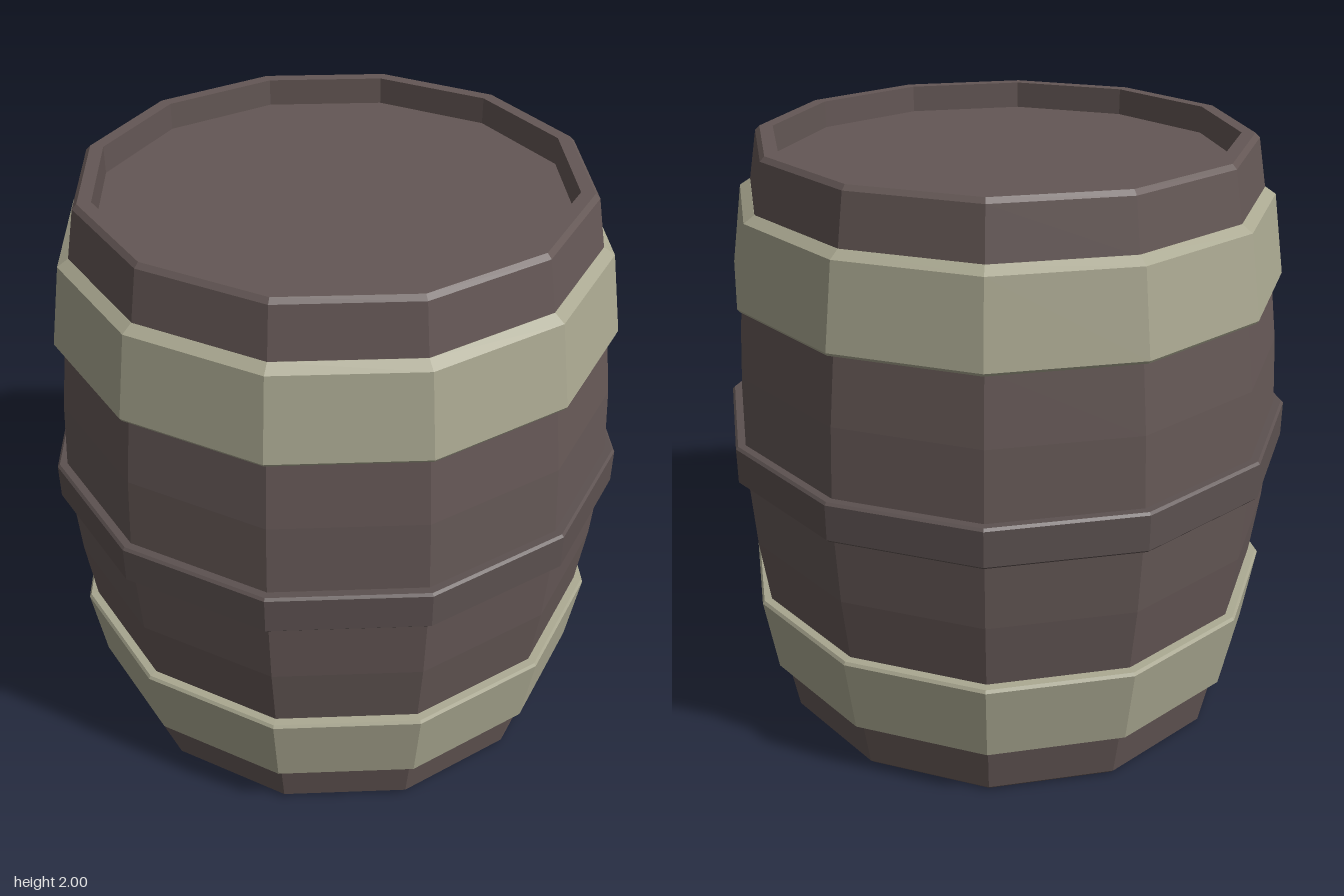
import * as THREE from 'three';

const SIDES = 12;
const TURN = THREE.MathUtils.degToRad(20); // twist of the twelve-sided outline

const flat = (name, color) => {
  const m = new THREE.MeshStandardMaterial({ color, flatShading: true });
  m.name = name;
  return m;
};

// Faceted solid of revolution; the profile runs bottom to top on the outside
function turned(name, profile, material) {
  const points = profile.map(([r, y]) => new THREE.Vector2(r, y));
  const mesh = new THREE.Mesh(new THREE.LatheGeometry(points, SIDES, TURN), material);
  mesh.name = name;
  return mesh;
}

// Flip a profile about mid-height, keeping its bottom-to-top order
const mirrored = (profile) => profile.map(([r, y]) => [r, 2 - y]).reverse();

export function createModel() {
  const wood = flat('dark wood', 0x645755);
  const metal = flat('pale hoop', 0xa9a790);
  const ring = flat('middle hoop', 0x5c5150);

  const barrel = new THREE.Group();
  barrel.name = 'barrel';

  // Bulging staves with a recessed lid at each end
  const lower = [
    [0, 0.09], [0.756, 0.09], [0.756, 0], [0.8, 0], [0.815, 0.015],
    [0.845, 0.18], [0.888, 0.47], [0.918, 0.7], [0.934, 0.95],
  ];
  barrel.add(turned('staves', [...lower, ...mirrored(lower)], wood));

  // Wide tapered hoops, narrower towards the ends
  const hoop = [
    [0.83, 0.175], [0.845, 0.175], [0.88, 0.198], [0.922, 0.465],
    [0.915, 0.475], [0.86, 0.48], [0.83, 0.175],
  ];
  barrel.add(turned('lowerHoop', hoop, metal));
  barrel.add(turned('upperHoop', mirrored(hoop), metal));

  // Narrow hoop round the middle
  barrel.add(turned('middleHoop', [
    [0.9, 0.935], [0.958, 0.935], [0.966, 0.943],
    [0.966, 1.062], [0.958, 1.07], [0.9, 1.07], [0.9, 0.935],
  ], ring));

  return barrel;
}
